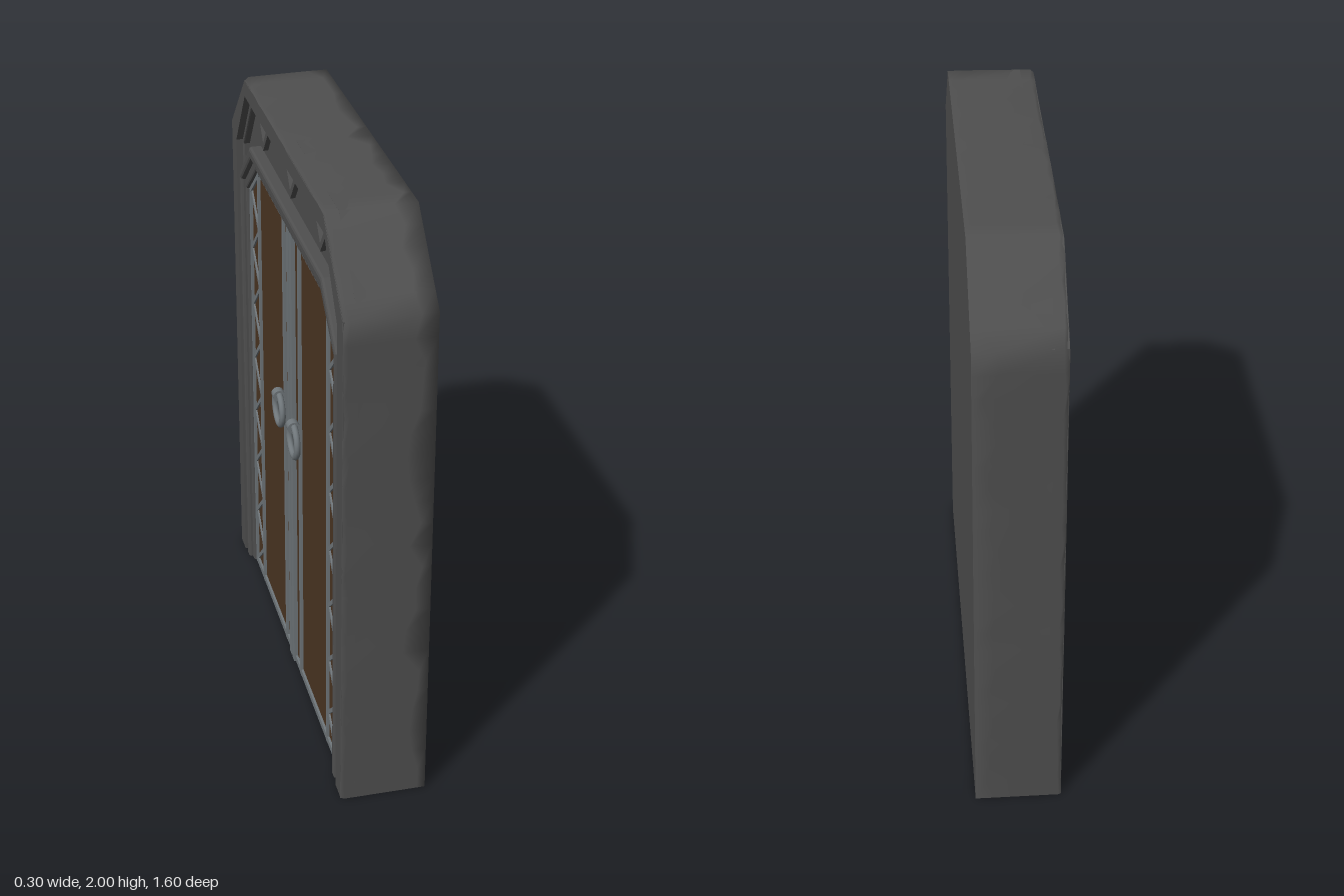
import * as THREE from 'three';

const stone = new THREE.MeshStandardMaterial({ color: 0x4f4f4f, name: 'dark stone' });
const wood = new THREE.MeshStandardMaterial({ color: 0x4c3523, name: 'dark brown wood' });
const metal = new THREE.MeshStandardMaterial({ color: 0x70777b, name: 'grey metal' });

// small seeded generator for the worn stone edge
let seed = 7;
const rand = () => (seed = (seed * 16807) % 2147483647) / 2147483647;

// open arch path with cut corners: half width, shoulder height, top half width, top height
const arch = (h, s, t, top) => [[-h, 0], [-h, s], [-t, top], [t, top], [h, s], [h, 0]];
const toShape = pts => new THREE.Shape(pts.map(p => new THREE.Vector2(p[0], p[1])));

function add(parent, name, geometry, material) {
  const mesh = new THREE.Mesh(geometry, material);
  mesh.name = name;
  parent.add(mesh);
  return mesh;
}

// flat shape extruded from depth a to depth b
function slab(shape, a, b, bevel = 0) {
  const g = new THREE.ExtrudeGeometry(shape, {
    depth: b - a - bevel, bevelEnabled: bevel > 0, bevelThickness: bevel,
    bevelSize: bevel, bevelOffset: -bevel, bevelSegments: 2,
  });
  return g.translate(0, 0, a);
}

// arch-shaped band between two paths, open at the bottom
const band = (outer, inner) => toShape([...outer, ...inner.slice().reverse()]);

// straight bar between two points on the door face
function bar(parent, name, p, q, width, a, b) {
  const dx = q[0] - p[0], dy = q[1] - p[1];
  const g = new THREE.BoxGeometry(Math.hypot(dx, dy), width, b - a);
  g.rotateZ(Math.atan2(dy, dx));
  g.translate((p[0] + q[0]) / 2, (p[1] + q[1]) / 2, (a + b) / 2);
  return add(parent, name, g, metal);
}

// softly worn outer edge running round the arch
function wornEdge(path) {
  const pts = [];
  for (let i = 0; i < path.length - 1; i++) {
    const [x0, y0] = path[i], [x1, y1] = path[i + 1];
    const n = Math.ceil(Math.hypot(x1 - x0, y1 - y0) / 0.08);
    for (let j = 0; j < n; j++) pts.push([x0 + (x1 - x0) * j / n, y0 + (y1 - y0) * j / n]);
  }
  pts.push(path[path.length - 1]);
  const pos = [], index = [];
  pts.forEach(([x, y], i) => {
    const rings = [
      [0.14, 0.006 + 0.008 * rand()],
      [0.12 + 0.012 * rand(), 0.003 * rand()],
      [-0.06 - 0.06 * rand(), 0],
      [-0.145, 0],
    ];
    rings.forEach(([w, inset], k) => {
      pos.push(x * (1 - inset / 0.8), y === 0 ? 0 : y - inset * (y > 1.7 ? 1 : 0), w);
      if (i < pts.length - 1 && k < 3) {
        const a = i * 4 + k;
        index.push(a, a + 4, a + 1, a + 4, a + 5, a + 1);
      }
    });
  });
  const g = new THREE.BufferGeometry();
  g.setAttribute('position', new THREE.Float32BufferAttribute(pos, 3));
  g.setIndex(index);
  g.computeVertexNormals();
  // soften the shading toward the back face
  const nor = g.attributes.normal, v = new THREE.Vector3();
  for (let i = 3; i < nor.count; i += 4) {
    v.fromBufferAttribute(nor, i);
    v.z -= 1;
    v.normalize();
    nor.setXYZ(i, v.x, v.y, v.z);
  }
  return g;
}

export function createModel() {
  const model = new THREE.Group();
  model.name = 'double door in stone arch';
  const gate = new THREE.Group();
  gate.name = 'gate';
  gate.rotation.y = -Math.PI / 2; // the doors look toward -x
  model.add(gate);

  // stone body and its raised rim
  const outline = arch(0.8, 1.76, 0.56, 2);
  add(gate, 'wallBody', slab(toShape(arch(0.798, 1.759, 0.559, 1.998)), -0.145, 0.095), stone);
  add(gate, 'wornWallEdge', wornEdge(outline), stone);
  const rimInner = arch(0.72, 1.71, 0.56, 1.93);
  add(gate, 'outerRim', slab(band(arch(0.79, 1.755, 0.556, 1.99), rimInner), 0.09, 0.139), stone);
  add(gate, 'rimTrim', slab(band(rimInner, arch(0.703, 1.7, 0.55, 1.905)), 0.09, 0.118, 0.006), stone);

  // moulding round the doors, in two steps
  const mid = arch(0.662, 1.585, 0.5, 1.725);
  add(gate, 'outerMoulding', slab(band(arch(0.692, 1.6, 0.515, 1.765), mid), 0.09, 0.138, 0.01), stone);
  add(gate, 'innerMoulding', slab(band(mid, arch(0.635, 1.56, 0.48, 1.69)), 0.09, 0.124, 0.008), stone);

  // hanging triangles on the header
  for (const u of [-0.4, 0, 0.4]) {
    const tri = toShape([[u - 0.09, 1.9], [u, 1.795], [u + 0.09, 1.9]]);
    tri.holes.push(new THREE.Path([[u - 0.05, 1.883], [u + 0.05, 1.883], [u, 1.823]]
      .map(p => new THREE.Vector2(p[0], p[1]))));
    add(gate, 'headerTriangle', slab(tri, 0.09, 0.112), stone);
  }

  for (const side of [-1, 1]) {
    const leaf = new THREE.Group();
    leaf.name = side < 0 ? 'rightLeaf' : 'leftLeaf';
    gate.add(leaf);
    const at = (u, y) => [side * u, y];

    // wooden panel
    add(leaf, 'woodPanel', slab(toShape([at(0.003, 0), at(0.635, 0), at(0.635, 1.56),
      at(0.48, 1.69), at(0.003, 1.69)]), 0.09, 0.105), wood);

    // metal strips and border
    bar(leaf, 'centreStrip', at(0.02, 0), at(0.02, 1.69), 0.03, 0.1, 0.119);
    bar(leaf, 'innerStrip', at(0.11, 0), at(0.11, 1.69), 0.022, 0.1, 0.114);
    bar(leaf, 'outerStrip', at(0.495, 0), at(0.495, 1.675), 0.018, 0.1, 0.114);
    bar(leaf, 'edgeStrip', at(0.627, 0), at(0.627, 1.56), 0.018, 0.1, 0.114);
    bar(leaf, 'bottomStrip', at(0.005, 0.012), at(0.635, 0.012), 0.024, 0.1, 0.113);
    bar(leaf, 'topStrip', at(0.005, 1.682), at(0.485, 1.682), 0.018, 0.1, 0.113);
    bar(leaf, 'cornerStrip', at(0.48, 1.682), at(0.63, 1.556), 0.018, 0.1, 0.113);

    // zigzag inlay
    const step = 0.22;
    for (let i = 0; i < 7; i++) {
      const y = 0.02 + i * step;
      bar(leaf, 'zigzag', at(0.62, y), at(0.505, y + step / 2), 0.014, 0.1, 0.111);
      bar(leaf, 'zigzag', at(0.505, y + step / 2), at(0.62, y + step), 0.014, 0.1, 0.111);
    }

    // ring handle on its mount
    const mount = add(leaf, 'handleMount', new THREE.CylinderGeometry(0.021, 0.021, 0.03, 16).rotateZ(Math.PI / 2), metal);
    mount.position.set(side * 0.11, 1.025, 0.134);
    const ring = add(leaf, 'handleRing', new THREE.TorusGeometry(0.058, 0.011, 10, 28), metal);
    ring.position.set(side * 0.11, 0.972, 0.133);
  }
  return model;
}
